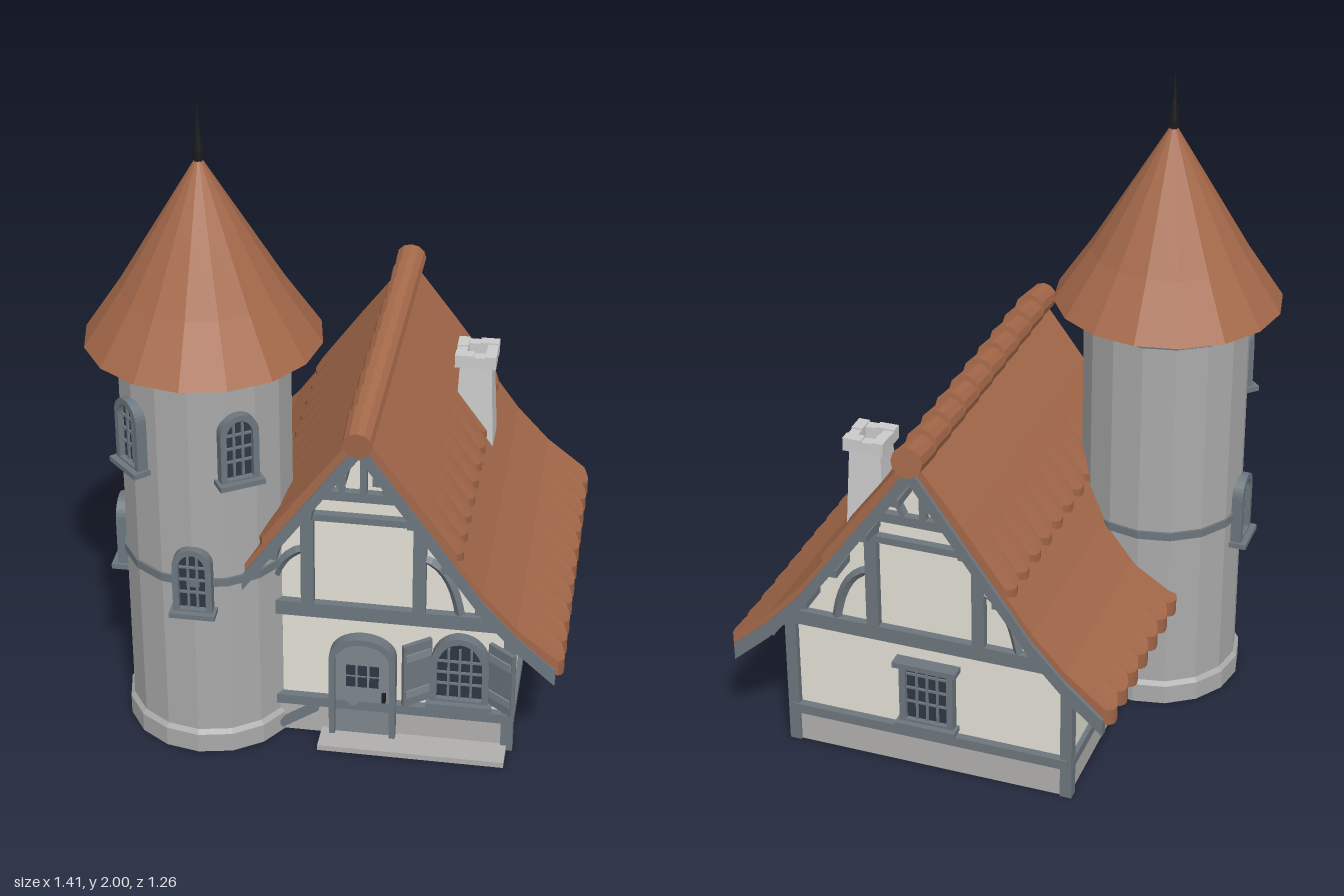
import * as THREE from 'three';

const mat = (color, flatShading = true) =>
  new THREE.MeshStandardMaterial({ color, flatShading, side: THREE.DoubleSide });
const TILE = mat(0xa5694a), TIMBER = mat(0x6d777e), DOOR = mat(0x7d878e), PLASTER = mat(0xe4e2d6);
const STONE = mat(0xaaaaaa), FOUNDATION = mat(0xb2aeae), GLASS = mat(0x2e3844), IRON = mat(0x1b1c1e);
const CHIMNEY = mat(0xcccccc);

function add(parent, name, geometry, material, x = 0, y = 0, z = 0) {
  const m = new THREE.Mesh(geometry, material);
  m.name = name;
  m.position.set(x, y, z);
  parent.add(m);
  return m;
}
const box = (p, name, material, w, h, d, x, y, z) =>
  add(p, name, new THREE.BoxGeometry(w, h, d), material, x, y, z);
const lathe = (pts, sides) =>
  new THREE.LatheGeometry(pts.map(([r, y]) => new THREE.Vector2(r, y)), sides);
const extrude = (shape, depth, steps = 1) =>
  new THREE.ExtrudeGeometry(shape, { depth, steps, bevelEnabled: false, curveSegments: 8 });
const poly = (pts) => new THREE.Shape(pts.map(([x, y]) => new THREE.Vector2(x, y)));

// straight timber between two points of a wall plane
function beam(p, x1, y1, x2, y2, w, z, depth = 0.03) {
  const m = box(p, 'timber', TIMBER, Math.hypot(x2 - x1, y2 - y1), w, depth, (x1 + x2) / 2, (y1 + y2) / 2, z);
  m.rotation.z = Math.atan2(y2 - y1, x2 - x1);
}

// outline with an elliptical top; rise 0 gives a rectangle
function arch(w, y0, h, rise, Type = THREE.Shape) {
  const s = new Type();
  s.moveTo(-w / 2, y0);
  s.lineTo(w / 2, y0);
  s.lineTo(w / 2, h - rise);
  if (rise > 0) s.absellipse(0, h - rise, w / 2, rise, 0, Math.PI, false);
  else s.lineTo(-w / 2, h);
  s.closePath();
  return s;
}

// window facing +z with its sill at the origin
function makeWindow(name, w, h, rise, t, depth, bars) {
  const g = new THREE.Group();
  g.name = name;
  const frame = arch(w, 0, h, rise);
  frame.holes.push(arch(w - 2 * t, t, h - t, Math.max(0, rise - t * 0.6), THREE.Path));
  add(g, 'windowFrame', extrude(frame, depth), TIMBER);
  add(g, 'glass', new THREE.ShapeGeometry(arch(w - t, t / 2, h - t / 2, rise * 0.9)), GLASS, 0, 0, depth * 0.55);
  for (let i = 1; i <= bars; i++)
    box(g, 'windowBar', TIMBER, 0.007, h - 2 * t - rise * 0.25, 0.01, -w / 2 + t + (w - 2 * t) * i / (bars + 1), (h - rise * 0.25) / 2, depth * 0.6);
  for (let i = 1; i < 4; i++)
    box(g, 'windowBar', TIMBER, w - 2 * t, 0.006, 0.01, 0, t + (h - rise * 0.6 - t) * i / 4 + 0.01, depth * 0.6);
  box(g, 'sill', TIMBER, w + 0.02, 0.016, depth + 0.018, 0, 0.004, (depth + 0.018) / 2);
  return g;
}

// pair of half-open shutters
function addShutters(win, w, h) {
  for (const s of [-1, 1]) {
    const hinge = new THREE.Group();
    hinge.name = 'shutter';
    hinge.position.set(s * w / 2, 0, 0.02);
    hinge.rotation.y = -s * 0.65;
    win.add(hinge);
    box(hinge, 'shutterPanel', TIMBER, 0.095, h, 0.014, s * 0.0475, h / 2 + 0.01, 0);
    for (const k of [0.2, 0.8]) box(hinge, 'shutterBatten', DOOR, 0.085, 0.025, 0.024, s * 0.0475, h * k + 0.01, 0);
  }
}

// half roof profile, measured out from the ridge
const UPPER = [[0, 1.125], [0.15, 0.925], [0.288, 0.737]];
const LOWER = [[0.25, 0.765], [0.36, 0.612], [0.46, 0.503], [0.59, 0.398]];
const RAKE = [[0, 1.125], [0.28, 0.735], [0.36, 0.622], [0.46, 0.513], [0.575, 0.41]];
const band = (pts, s, top, bottom) => poly([
  ...pts.map(([x, y]) => [s * x, y - top]),
  ...[...pts].reverse().map(([x, y]) => [s * x, y - bottom])]);

// tiled sheet whose lower edge is scalloped along z
function roofSheet(pts, s) {
  const length = 1.08, geo = extrude(band(pts, s, 0, 0.05), length, 66), pos = geo.attributes.position;
  const edge = pts[pts.length - 1][0];
  for (let i = 0; i < pos.count; i++) {
    const x = pos.getX(i);
    if (Math.abs(x) < edge - 0.001) continue;
    const d = 0.016 * (Math.abs(Math.sin(pos.getZ(i) / length * Math.PI * 11)) - 0.5);
    pos.setX(i, x + s * d);
    pos.setY(i, pos.getY(i) - d);
  }
  geo.computeVertexNormals();
  return geo;
}

const FRONT = 0.385, BACK = -0.505, HALF = 0.44, MID = (FRONT + BACK) / 2, DEPTH = FRONT - BACK;

function makeHouse() {
  const house = new THREE.Group();
  house.name = 'house';
  house.position.x = 0.11;

  // plaster walls, open underneath
  const gable = poly([[-HALF, 0.09], [HALF, 0.09], [HALF, 0.48], [0.28, 0.69], [0, 1.075], [-0.28, 0.69], [-HALF, 0.48]]);
  for (const [z, out] of [[FRONT, 1], [BACK, -1]]) {
    add(house, 'gableWall', new THREE.ShapeGeometry(gable), PLASTER, 0, 0, z - out * 0.01);
    box(house, 'foundation', FOUNDATION, 2 * HALF, 0.105, 0.02, 0, 0.0525, z - out * 0.008);
    // framing of the gable
    beam(house, -HALF, 0.118, HALF, 0.118, 0.032, z);
    beam(house, -HALF - 0.01, 0.452, HALF + 0.01, 0.452, 0.048, z);
    beam(house, -0.2, 0.777, 0.2, 0.777, 0.022, z);
    beam(house, -0.15, 0.855, 0.15, 0.855, 0.03, z);
    beam(house, 0, 0.86, 0, 1.05, 0.02, z);
    for (const s of [-1, 1]) {
      beam(house, s * 0.165, 0.46, s * 0.165, 0.8, 0.038, z);
      beam(house, s * 0.06, 0.87, s * 0.1, 0.95, 0.015, z);
      const brace = new THREE.QuadraticBezierCurve3(new THREE.Vector3(s * 0.17, 0.66, z),
        new THREE.Vector3(s * 0.26, 0.64, z), new THREE.Vector3(s * 0.285, 0.47, z));
      add(house, 'curvedBrace', new THREE.TubeGeometry(brace, 8, 0.015, 4), TIMBER);
      // barge boards and purlin ends
      add(house, 'bargeBoard', extrude(band(RAKE, s, 0.035, 0.088), 0.028), TIMBER, 0, 0, out > 0 ? 0.458 : -0.612);
      for (const [x, y] of [[0.05, 0.94], [0.15, 0.805], [0.25, 0.665], [0.35, 0.535], [0.46, 0.42]])
        box(house, 'purlinEnd', TIMBER, 0.025, 0.025, 0.1, s * x, y + 0.02, z + out * 0.045);
    }
  }

  // side walls and corner posts
  for (const s of [-1, 1]) {
    box(house, 'sideWall', PLASTER, 0.012, 0.4, DEPTH, s * (HALF - 0.006), 0.285, MID);
    box(house, 'foundation', FOUNDATION, 0.02, 0.105, DEPTH, s * (HALF - 0.008), 0.0525, MID);
    box(house, 'sillBeam', TIMBER, 0.03, 0.032, DEPTH, s * HALF, 0.118, MID);
    box(house, 'wallPlate', TIMBER, 0.03, 0.04, DEPTH, s * HALF, 0.42, MID);
    for (const z of [FRONT - 0.008, BACK + 0.008])
      box(house, 'cornerPost', TIMBER, 0.036, 0.47, 0.036, s * (HALF - 0.005), 0.235, z);
    add(house, 'upperRoof', roofSheet(UPPER, s), TILE, 0, 0, -0.6);
    add(house, 'lowerRoof', roofSheet(LOWER, s), TILE, 0, 0, -0.6);
  }

  // overlapping ridge tiles
  for (let i = 0; i < 10; i++) {
    const cap = add(house, 'ridgeTile', new THREE.CylinderGeometry(0.047, 0.043, 0.132, 12), TILE, 0, 1.108, 0.455 - i * 0.113);
    cap.rotation.x = -Math.PI / 2 + 0.12;
  }

  // door with frame, small panes and front step
  const door = new THREE.Group();
  door.name = 'door';
  door.position.z = FRONT - 0.02;
  house.add(door);
  const frame = arch(0.2, 0, 0.37, 0.075);
  frame.holes.push(arch(0.164, 0.005, 0.35, 0.065, THREE.Path));
  add(door, 'doorFrame', extrude(frame, 0.05), TIMBER);
  add(door, 'doorPanel', extrude(arch(0.17, 0.004, 0.352, 0.066), 0.035), DOOR);
  for (let i = 0; i < 3; i++) for (const y of [0.208, 0.25])
    box(door, 'doorPane', GLASS, 0.028, 0.034, 0.01, (i - 1) * 0.035, y, 0.034);
  box(door, 'doorHandle', IRON, 0.012, 0.03, 0.015, 0.065, 0.16, 0.04);
  box(house, 'frontStep', FOUNDATION, 0.56, 0.018, 0.1, 0.155, 0.009, 0.43);
  beam(house, -0.25, 0.025, -0.14, 0.1, 0.025, FRONT + 0.005);

  // windows
  const place = (win, x, y, z, ry) => {
    win.position.set(x, y, z);
    win.rotation.y = ry;
    house.add(win);
  };
  const frontWin = makeWindow('frontWindow', 0.175, 0.24, 0.1, 0.02, 0.04, 3);
  const sideWin = makeWindow('rightWindow', 0.175, 0.24, 0.1, 0.02, 0.04, 3);
  for (const w of [frontWin, sideWin]) addShutters(w, 0.175, 0.215);
  place(frontWin, 0.29, 0.16, FRONT - 0.015, 0);
  place(sideWin, HALF - 0.015, 0.16, -0.055, Math.PI / 2);
  for (const [name, x, z, ry] of [['backWindow', 0, BACK + 0.015, Math.PI], ['leftWindow', -HALF + 0.015, -0.08, -Math.PI / 2]]) {
    const win = makeWindow(name, 0.17, 0.215, 0, 0.02, 0.035, 3);
    box(win, 'lintel', TIMBER, 0.2, 0.018, 0.05, 0, 0.215, 0.025);
    place(win, x, 0.15, z, ry);
  }

  // tapered chimney with a ring of cap stones
  const chimney = new THREE.Group();
  chimney.name = 'chimney';
  chimney.position.set(0.25, 0, -0.293);
  house.add(chimney);
  const shaft = add(chimney, 'chimneyShaft', new THREE.CylinderGeometry(0.068, 0.092, 0.38, 4, 1, true), CHIMNEY, 0, 0.78, 0);
  shaft.rotation.y = Math.PI / 4;
  for (let i = 0; i < 4; i++) {
    const side = new THREE.Group();
    side.name = 'capStones';
    side.rotation.y = i * Math.PI / 2;
    chimney.add(side);
    box(side, 'capStone', CHIMNEY, 0.058, 0.042, 0.034, -0.034, 0.972, 0.046);
    box(side, 'capStone', CHIMNEY, 0.04, 0.036, 0.032, 0.015, 0.97, 0.046);
  }
  return house;
}

function makeTower() {
  const tower = new THREE.Group();
  tower.name = 'tower';
  tower.position.set(-0.365, 0, 0.28);
  add(tower, 'towerWall', lathe([[0.262, 0], [0.262, 0.062], [0.25, 0.075], [0.25, 1.29]], 16), STONE);
  add(tower, 'towerBelt', lathe([[0.25, 0.592], [0.257, 0.592], [0.257, 0.618], [0.25, 0.618]], 16), TIMBER);
  add(tower, 'towerCollar', lathe([[0.25, 1.24], [0.26, 1.24], [0.26, 1.29]], 16), TIMBER);
  add(tower, 'towerRoof', lathe([[0.24, 1.292], [0.342, 1.286], [0.235, 1.447], [0.12, 1.642], [0, 1.845]], 16), TILE);
  add(tower, 'spire', lathe([[0.013, 1.82], [0.014, 1.85], [0.007, 1.91], [0, 2]], 8), IRON);
  for (const [deg, y] of [[-45, 0.94], [32, 0.94], [0, 0.505], [-90, 0.505]]) {
    const a = deg * Math.PI / 180, win = makeWindow('towerWindow', 0.115, 0.222, 0.058, 0.018, 0.042, 2);
    win.position.set(Math.sin(a) * 0.23, y, Math.cos(a) * 0.23);
    win.rotation.y = a;
    tower.add(win);
  }
  return tower;
}

export function createModel() {
  const model = new THREE.Group();
  model.name = 'cottageWithTower';
  model.add(makeHouse(), makeTower());
  return model;
}
